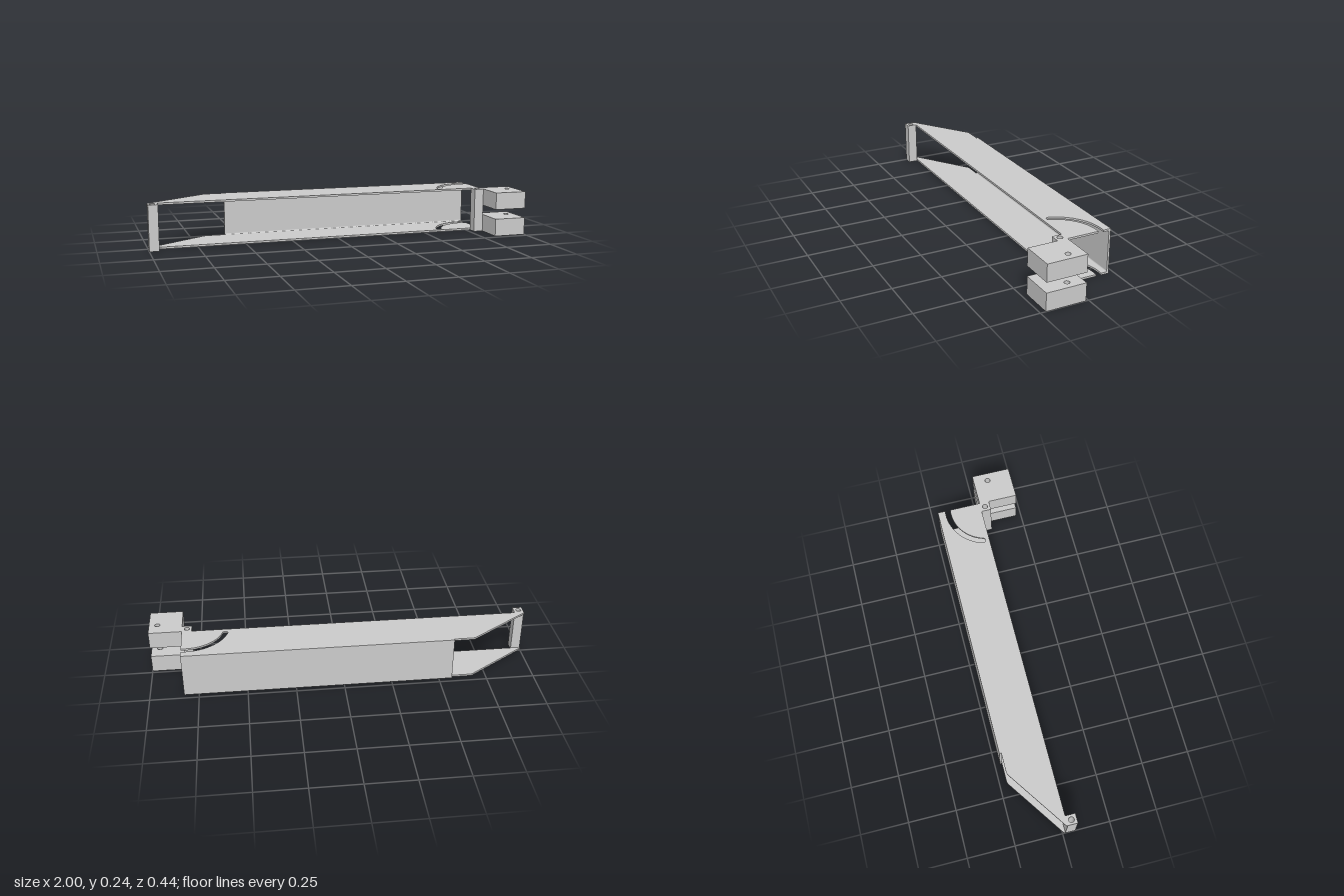
import * as THREE from 'three';

const HEIGHT = 0.236, SHEET = 0.01, FRONT = 0.014, BACK = -0.222;
const CHANNEL_END = 0.826, WALL_START = -0.57;

export function createModel() {
  const group = new THREE.Group();
  const material = new THREE.MeshStandardMaterial({ color: 0xcccccc, flatShading: true });

  function add(name, geometry) {
    const mesh = new THREE.Mesh(geometry, material);
    mesh.name = name;
    group.add(mesh);
  }

  // Plan shapes use (x, -z) and are extruded upward from y0 to y1
  function extrudeUp(shape, y0, y1) {
    return new THREE.ExtrudeGeometry(shape, { depth: y1 - y0, bevelEnabled: false, curveSegments: 28 })
      .rotateX(-Math.PI / 2).translate(0, y0, 0);
  }

  // Rectangular block with a vertical round hole
  function drilledBlock(x0, x1, z0, z1, holeX, holeZ, radius, y0, y1) {
    const shape = new THREE.Shape([
      new THREE.Vector2(x0, -z1), new THREE.Vector2(x1, -z1),
      new THREE.Vector2(x1, -z0), new THREE.Vector2(x0, -z0)]);
    shape.holes.push(new THREE.Path().absarc(holeX, -holeZ, radius, 0, Math.PI * 2, true));
    return extrudeUp(shape, y0, y1);
  }

  // Side plate: sloped tail and a curved slot, concentric with the hinge, open at the end
  const pivot = { x: 0.8, y: -0.04 }, inner = 0.194, outer = 0.222;
  const mid = (inner + outer) / 2, slotEnd = Math.PI - 0.3;
  const mouth = r => Math.acos((CHANNEL_END - pivot.x) / r);
  const plate = new THREE.Shape();
  plate.moveTo(-1, -FRONT);
  plate.lineTo(CHANNEL_END, -FRONT);
  plate.absarc(pivot.x, pivot.y, inner, mouth(inner), slotEnd, false);
  plate.absarc(pivot.x + mid * Math.cos(slotEnd), pivot.y + mid * Math.sin(slotEnd),
    (outer - inner) / 2, slotEnd + Math.PI, slotEnd, true);
  plate.absarc(pivot.x, pivot.y, outer, slotEnd, mouth(outer), true);
  plate.lineTo(CHANNEL_END, -BACK);
  plate.lineTo(WALL_START, -BACK);
  plate.lineTo(WALL_START, 0.212);
  plate.lineTo(-0.665, 0.212);
  plate.quadraticCurveTo(-0.678, 0.212, -0.688, 0.205);
  plate.lineTo(-1, -0.008);
  plate.closePath();
  add('bottomPlate', extrudeUp(plate, 0, SHEET));
  add('topPlate', extrudeUp(plate, HEIGHT - SHEET, HEIGHT));

  // Back wall with rounded inner corners, profile (-z, y) swept along x
  const fillet = 0.007, inside = -BACK - SHEET, top = HEIGHT - SHEET;
  const wall = new THREE.Shape();
  wall.moveTo(-BACK, SHEET);
  wall.lineTo(-BACK, top);
  wall.lineTo(inside - fillet, top);
  wall.absarc(inside - fillet, top - fillet, fillet, Math.PI / 2, 0, true);
  wall.absarc(inside - fillet, SHEET + fillet, fillet, 0, -Math.PI / 2, true);
  wall.closePath();
  add('backWall', new THREE.ExtrudeGeometry(wall, {
    depth: CHANNEL_END - WALL_START, bevelEnabled: false, curveSegments: 6,
  }).rotateY(Math.PI / 2).translate(WALL_START, 0, 0));

  // Hinge posts at both ends of the open side
  add('rightPost', drilledBlock(-1, -0.95, FRONT, 0.066, -0.976, 0.039, 0.014, 0, HEIGHT));
  add('leftPost', drilledBlock(0.775, CHANNEL_END, FRONT, 0.066, 0.8, 0.039, 0.014, 0, HEIGHT));

  // Fork made of two drilled blocks beside the left post
  for (const [name, y0, y1] of [['lowerForkBlock', 0, 0.093], ['upperForkBlock', 0.145, HEIGHT]]) {
    add(name, drilledBlock(CHANNEL_END, 1, FRONT, 0.222, 0.956, 0.091, 0.014, y0, y1));
  }
  return group;
}
